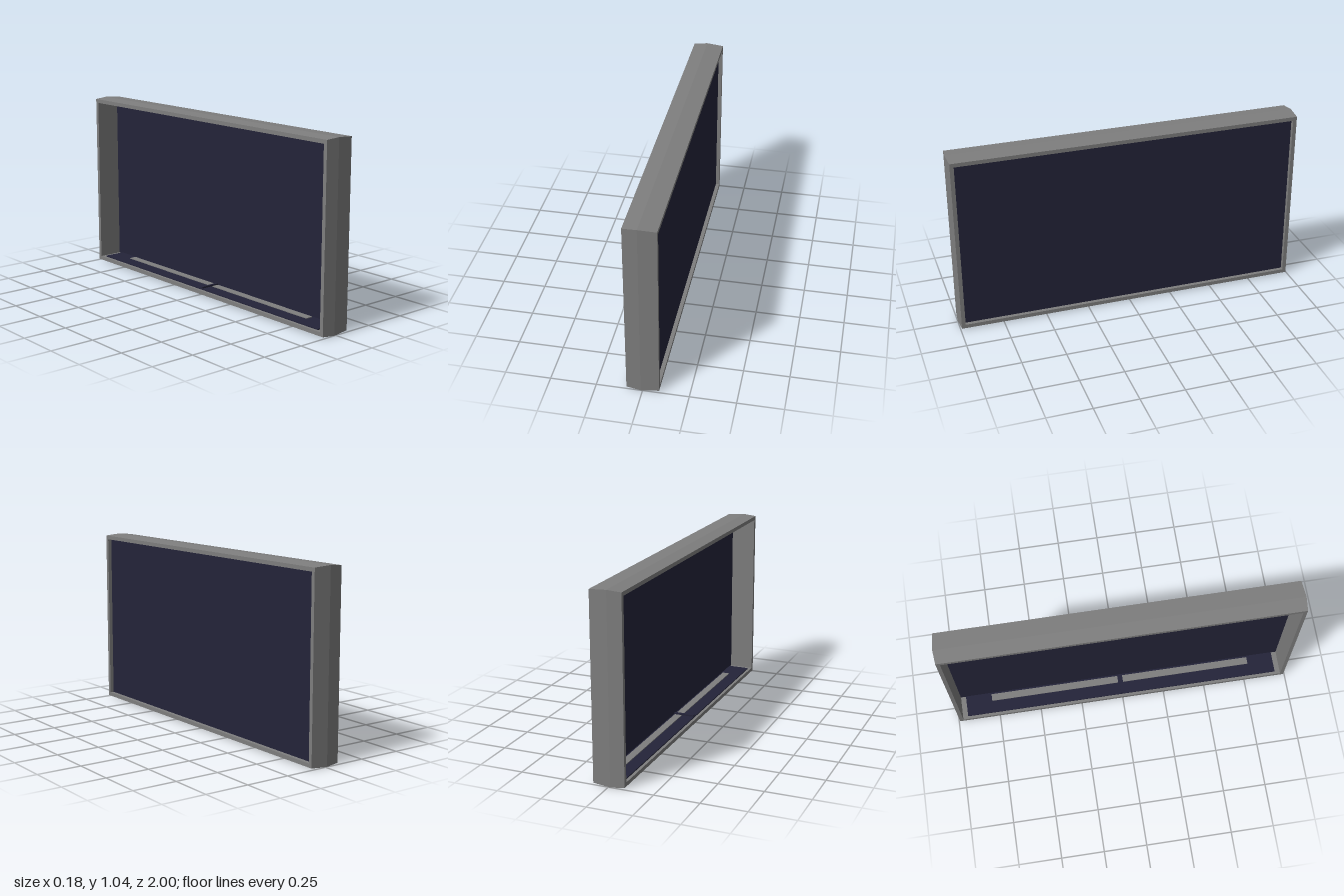
import * as THREE from 'three';

const H = 1.037; // overall height

// Rectangular ring swept from cross-section points [inset, x]
function frameGeometry(profile) {
  const pos = [];
  const corner = ([inset, x], k) => {
    const sz = k === 0 || k === 3 ? -1 : 1, sy = k < 2 ? -1 : 1;
    return [x, H / 2 + sy * (H / 2 - inset), sz * (1 - inset)];
  };
  profile.forEach((p, i) => {
    const q = profile[(i + 1) % profile.length];
    for (let k = 0; k < 4; k++) {
      const n = (k + 1) % 4;
      const a = corner(p, k), b = corner(p, n), c = corner(q, n), d = corner(q, k);
      pos.push(...a, ...c, ...b, ...a, ...d, ...c);
    }
  });
  const g = new THREE.BufferGeometry();
  g.setAttribute('position', new THREE.Float32BufferAttribute(pos, 3));
  g.computeVertexNormals();
  return g;
}

export function createModel() {
  const group = new THREE.Group();
  const grey = new THREE.MeshStandardMaterial({ color: 0x7e7e7e, side: THREE.DoubleSide });
  grey.name = 'frame grey';
  const navy = new THREE.MeshStandardMaterial({ color: 0x242439 });
  navy.name = 'panel navy';

  const add = (name, geometry, material, x = 0, y = 0, z = 0) => {
    const mesh = new THREE.Mesh(geometry, material);
    mesh.name = name;
    mesh.position.set(x, y, z);
    group.add(mesh);
  };
  const box = (name, material, w, h, d, x, y, z) =>
    add(name, new THREE.BoxGeometry(w, h, d), material, x, y, z);

  // Deep frame whose outer walls peak slightly along the middle
  add('frame', frameGeometry([
    [0.007, 0.088], [0, -0.01], [0.007, -0.088], [0.029, -0.088], [0.029, 0.088],
  ]), grey);

  // Panel set close behind the +x opening
  box('panel', navy, 0.012, H - 0.056, 1.944, 0.06, H / 2, 0);

  // Shallow tray on the floor of the open back, with two pale strips and a divider
  box('floorTray', navy, 0.125, 0.006, 1.88, -0.009, 0.032, 0);
  for (const s of [-1, 1]) {
    box('floorStrip', grey, 0.042, 0.004, 0.77, 0.022, 0.037, s * 0.4);
  }
  box('floorDivider', navy, 0.12, 0.012, 0.014, -0.009, 0.038, 0);
  return group;
}
